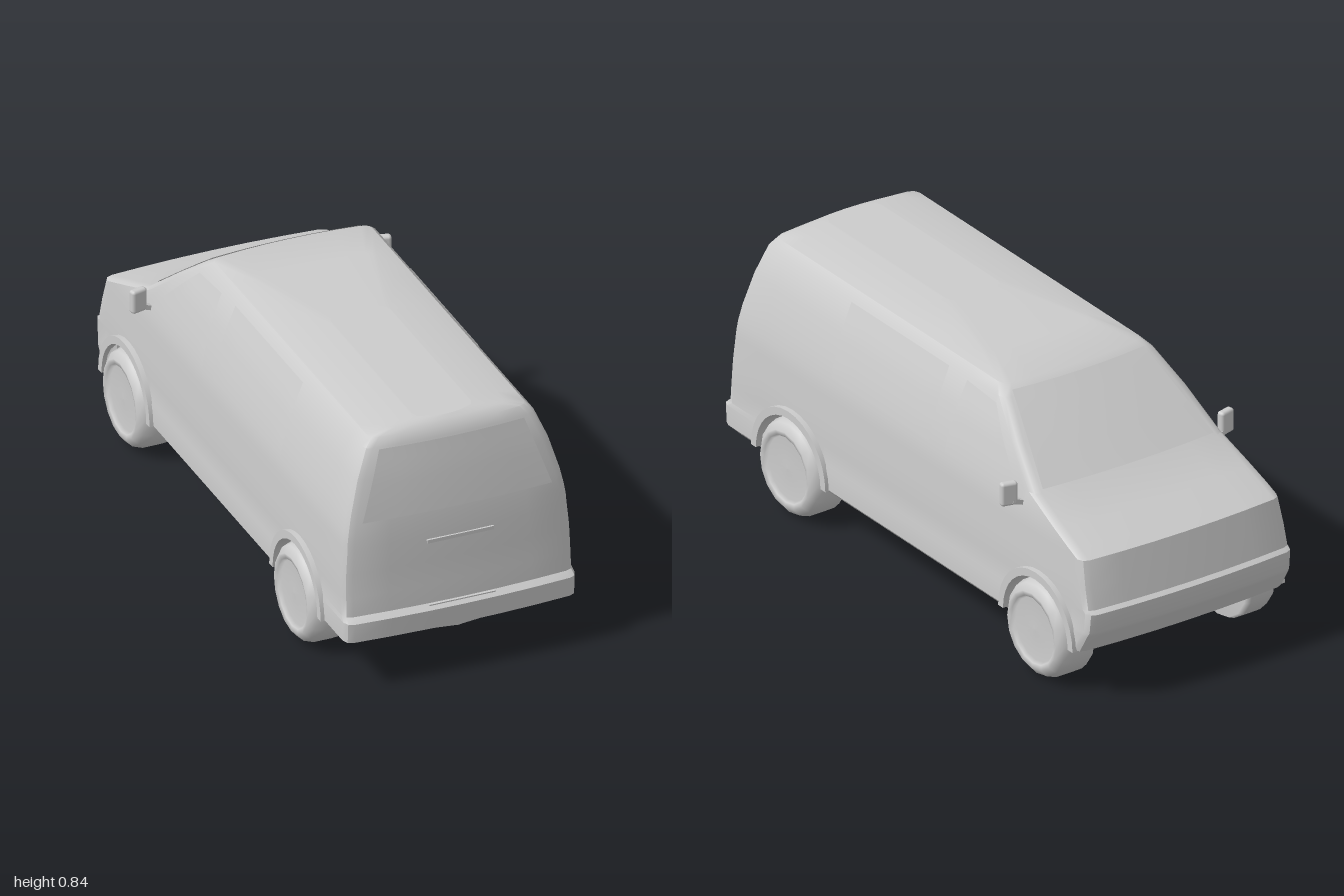
import * as THREE from 'three';
import { toCreasedNormals } from 'three/addons/utils/BufferGeometryUtils.js';
import { RoundedBoxGeometry } from 'three/addons/geometries/RoundedBoxGeometry.js';

const paint = new THREE.MeshStandardMaterial({ color: 0xcccccc, side: THREE.DoubleSide });
paint.name = 'light grey';

// Horizontal levels of the shell: [height, half width, nose z, tail z]
const ROWS = [
  [0.15, 0.375, -0.87, 0.94], [0.168, 0.391, -0.94, 0.985], [0.235, 0.391, -0.98, 0.99],
  [0.25, 0.388, -0.988, 0.969], [0.315, 0.387, -0.995, 0.965], [0.325, 0.387, -0.98, 0.964],
  [0.395, 0.385, -0.962, 0.96], [0.48, 0.378, -0.94, 0.955], [0.5, 0.377, -0.89, 0.953],
  [0.535, 0.372, -0.8, 0.95], [0.59, 0.361, -0.66, 0.942], [0.7, 0.33, -0.523, 0.922],
  [0.795, 0.291, -0.402, 0.9], [0.822, 0.266, -0.365, 0.885], [0.836, 0.2, -0.18, 0.868],
  [0.843, 0.1, 0.15, 0.855],
];
const BULGE = 0.015, CORNER = 0.028;
const WHEEL_Z = [-0.71, 0.605], HUB_Y = 0.165, ARCH = 0.175, WELL_X = 0.28;

// Row values at any height
function level(y) {
  let k = 0;
  while (k < ROWS.length - 2 && ROWS[k + 1][0] < y) k++;
  const t = (y - ROWS[k][0]) / (ROWS[k + 1][0] - ROWS[k][0]);
  return ROWS[k].map((v, i) => v + (ROWS[k + 1][i] - v) * t);
}
const endBulge = (x, w) => BULGE * Math.min(1, (x / (w - CORNER)) ** 2);

function archY(z) {
  const d = Math.min(...WHEEL_Z.map((c) => Math.abs(z - c)));
  return d < ARCH ? HUB_Y + Math.sqrt(ARCH * ARCH - d * d) : 0;
}

// z stations along the side, denser round the wheel arches
function sideStations() {
  const zs = [-0.35, -0.2, 0, 0.2];
  for (const c of WHEEL_Z) {
    zs.push(c - ARCH - 0.001, c + ARCH + 0.001);
    for (let i = 0; i <= 12; i++) zs.push(c - (ARCH - 0.0005) * Math.cos((i * Math.PI) / 12));
  }
  return zs.sort((a, b) => a - b);
}

// Half outline of one level, from nose centre round to tail centre
function halfRing([y, w, zf, zr], stations) {
  const pts = [], e = w - CORNER, ts = [0, 0.33, 0.67, 1];
  const end = (t, z, s) => pts.push([e * t, y, z + s * BULGE * t * t]);
  ts.forEach((t) => end(t, zf, 1));
  const a = zf + BULGE, b = zr - BULGE;
  pts.push([w - CORNER * 0.3, y, a + CORNER * 0.3], [w, y, a + CORNER]);
  for (const z of stations) {
    const zc = THREE.MathUtils.clamp(z, a + CORNER, b - CORNER);
    pts.push([w, Math.max(y, archY(zc)), zc]);
  }
  pts.push([w, y, b - CORNER], [w - CORNER * 0.3, y, b - CORNER * 0.3]);
  ts.reverse().forEach((t) => end(t, zr, -1));
  return pts;
}

const mirrorX = ([x, y, z]) => [-x, y, z];

// Surface through rows of points
function skin(rows, flip = false) {
  const n = rows[0].length, index = [];
  for (let j = 0; j < rows.length - 1; j++) {
    for (let i = 0; i < n - 1; i++) {
      const a = j * n + i, b = a + n;
      if (flip) index.push(a, a + 1, b, a + 1, b + 1, b);
      else index.push(a, b, a + 1, a + 1, b, b + 1);
    }
  }
  const g = new THREE.BufferGeometry();
  g.setAttribute('position', new THREE.Float32BufferAttribute(rows.flat(2), 3));
  g.setIndex(index);
  return toCreasedNormals(g, 0.6);
}

// Thin panel: four corners [u, v] (bottom a, b, top c, d) laid on a surface
function panel(corners, place) {
  const [a, b, c, d] = corners, N = 6, rows = [];
  const mix = (p, q, t) => [p[0] + (q[0] - p[0]) * t, p[1] + (q[1] - p[1]) * t];
  for (let j = 0; j <= N; j++) {
    const row = [];
    for (let i = 0; i <= N; i++) {
      row.push(place(...mix(mix(a, b, i / N), mix(d, c, i / N), j / N)));
    }
    rows.push(row);
  }
  return skin(rows);
}

export function createModel() {
  const van = new THREE.Group();
  van.name = 'van';
  const add = (geometry, name, x = 0, y = 0, z = 0) => {
    const m = new THREE.Mesh(geometry, paint);
    m.name = name;
    m.position.set(x, y, z);
    van.add(m);
    return m;
  };

  // Body shell and roof
  const stations = sideStations();
  const halves = ROWS.map((r) => halfRing(r, stations));
  add(skin(halves.map((h) => [...h, ...h.map(mirrorX).reverse()])), 'bodyShell');
  const top = halves[halves.length - 1];
  add(skin([top, top.map(mirrorX)]), 'roofTop');

  // Shallow V floor with wheel wells
  const low = halves[0];
  const edgeX = (p) => (archY(p[2]) > 0 && p[0] > 0.37 ? WELL_X : p[0]);
  const floorRows = [
    low.map((p) => [0, 0.132, p[2]]),
    low.map((p) => [edgeX(p), 0.15, p[2]]),
    low.map((p) => [edgeX(p), p[1], p[2]]),
    low,
  ];
  add(skin(floorRows), 'floor');
  add(skin(floorRows.map((r) => r.map(mirrorX)), true), 'floor');

  // Windscreen and rear window
  add(panel([[0.325, 0.597], [-0.325, 0.597], [-0.25, 0.808], [0.25, 0.808]], (x, y) => {
    const [, w, zf] = level(y);
    return [x, y + 0.002, zf + endBulge(x, w) - 0.003];
  }), 'windscreen');
  const onTail = (x, y) => {
    const [, w, , zr] = level(y);
    return [x, y, zr - endBulge(x, w) + 0.003];
  };
  add(panel([[-0.32, 0.565], [0.32, 0.565], [0.245, 0.79], [-0.245, 0.79]], onTail), 'rearWindow');

  // Tailgate handle and lower seam
  add(new THREE.BoxGeometry(0.224, 0.012, 0.012), 'tailgateHandle', 0, 0.465, 0.955);
  add(new THREE.BoxGeometry(0.224, 0.004, 0.01), 'tailgateSeam', 0, 0.247, 0.972);

  // Wheel profile: radius, distance outwards
  const tyre = new THREE.LatheGeometry([
    [0, 0], [0.155, 0], [0.163, 0.02], [0.163, 0.08], [0.152, 0.112], [0.13, 0.13],
    [0.113, 0.126], [0.106, 0.114], [0, 0.118],
  ].map((p) => new THREE.Vector2(...p)), 16);

  // Flared lip over each wheel
  const lip = new THREE.Shape();
  lip.absarc(0, 0, 0.198, 0, Math.PI, false);
  lip.absarc(0, 0, 0.172, Math.PI, 0, true);
  const lipGeometry = toCreasedNormals(
    new THREE.ExtrudeGeometry(lip, { depth: 0.036, bevelEnabled: false, curveSegments: 8 }), 0.6);

  for (const s of [1, -1]) {
    // Side windows
    const onSide = (z, y) => [s * (level(y)[1] + 0.003), y, z];
    add(panel([[-0.1, 0.55], [0.42, 0.55], [0.42, 0.792], [-0.1, 0.792]], onSide), 'sideWindow');
    add(panel([[-0.575, 0.56], [-0.18, 0.55], [-0.2, 0.785], [-0.36, 0.775]], onSide), 'doorWindow');

    // Wheels and arches
    WHEEL_Z.forEach((z, i) => {
      const end = i ? 'rear' : 'front';
      add(tyre, end + 'Wheel', s * 0.288, 0.163, z).rotation.z = (-s * Math.PI) / 2;
      add(lipGeometry, end + 'ArchLip', s * 0.386 - 0.018, HUB_Y, z).rotation.y = Math.PI / 2;
    });

    // Door mirrors
    const glass = add(new RoundedBoxGeometry(0.056, 0.08, 0.028, 2, 0.01), 'doorMirror', s * 0.413, 0.587, -0.58);
    glass.rotation.y = -s * 0.25;
    const arm = add(new THREE.BoxGeometry(0.05, 0.016, 0.018), 'mirrorArm', s * 0.382, 0.553, -0.588);
    arm.rotation.z = s * 0.35;
  }
  return van;
}
